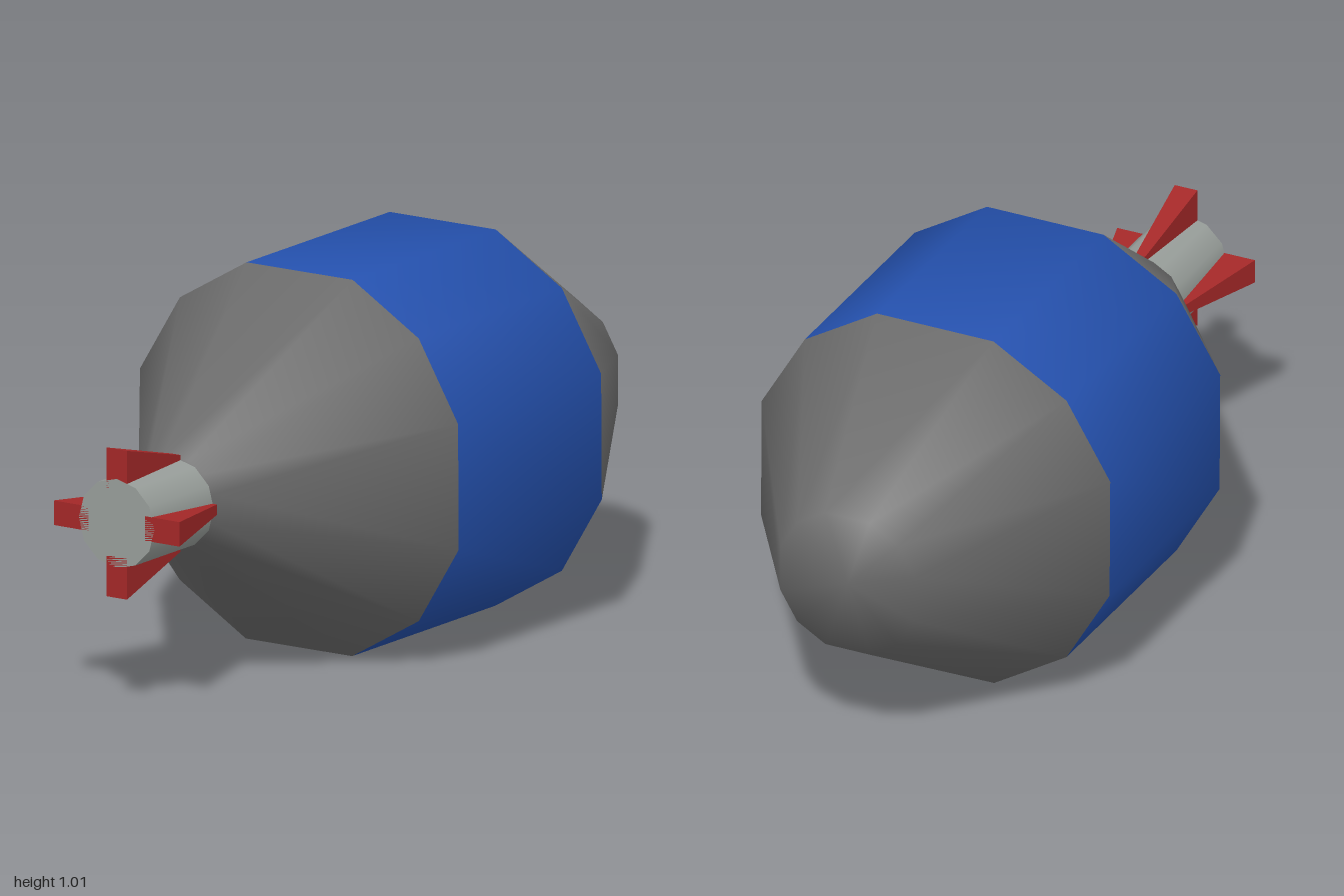
import * as THREE from 'three';

const CY = 0.508; // height of the long axis

// Twelve-sided cross-section (y, z), mirrored from one quadrant
const quadrant = [[0.507, 0.17], [0.38, 0.38], [0.168, 0.505]];
const section = [];
for (let q = 0; q < 4; q++) {
  const c = Math.round(Math.cos(q * Math.PI / 2)), s = Math.round(Math.sin(q * Math.PI / 2));
  for (const [y, z] of quadrant) section.push([y * c - z * s, y * s + z * c]);
}
section.sort((a, b) => Math.atan2(a[1], a[0]) - Math.atan2(b[1], b[0]));

// Lofts scaled sections along x with shared vertices; bands lists the material of each span
function loft(stations, bands) {
  const pos = [], idx = [], n = section.length;
  const geo = new THREE.BufferGeometry();
  for (const [x, k] of stations) for (const [y, z] of section) pos.push(x, y * k, z * k);
  const last = stations.length - 1, base = last * n, tail = pos.length / 3;
  pos.push(stations[0][0], 0, 0, stations[last][0], 0, 0);
  bands.forEach((mat, s) => {
    const start = idx.length;
    for (let i = 0; i < n; i++) {
      const j = (i + 1) % n, a = s * n + i, b = s * n + j;
      idx.push(a, b, b + n, a, b + n, a + n);
      if (s === 0) idx.push(tail, b, a);
      if (s === last - 1) idx.push(tail + 1, base + i, base + j);
    }
    geo.addGroup(start, idx.length - start, mat);
  });
  // Flip the winding when the faces point inward
  const v = (i) => new THREE.Vector3(...pos.slice(i * 3, i * 3 + 3));
  const p = v(idx[0]), nrm = v(idx[1]).sub(p).cross(v(idx[2]).sub(p));
  if (nrm.y * p.y + nrm.z * p.z < 0) {
    for (let i = 0; i < idx.length; i += 3) [idx[i + 1], idx[i + 2]] = [idx[i + 2], idx[i + 1]];
  }
  geo.setAttribute('position', new THREE.Float32BufferAttribute(pos, 3));
  geo.setIndex(idx);
  geo.computeVertexNormals();
  return geo;
}

// Fin block widening toward the rear, pointing along +y
function finGeometry() {
  const geo = new THREE.BoxGeometry(0.27, 1, 1);
  const p = geo.attributes.position;
  for (let i = 0; i < p.count; i++) {
    const rear = p.getX(i) < 0;
    const y = p.getY(i) > 0 ? (rear ? 0.2 : 0.13) : 0.09;
    p.setXYZ(i, rear ? -1 : -0.73, y, Math.sign(p.getZ(i)) * (rear ? 0.033 : 0.014));
  }
  geo.computeVertexNormals();
  return geo;
}

export function createModel() {
  const paint = (name, color) => {
    const m = new THREE.MeshStandardMaterial({ color });
    m.name = name;
    return m;
  };
  const grey = paint('dark grey shell', 0x6b6b6b);
  const blue = paint('blue band', 0x2450ac);
  const steel = paint('light grey metal', 0x989e9a);
  const red = paint('red fins', 0xa42828);

  const group = new THREE.Group();
  group.name = 'finnedCanister';
  const add = (name, geo, mat) => {
    const mesh = new THREE.Mesh(geo, mat);
    mesh.name = name;
    mesh.position.y = CY;
    group.add(mesh);
    return mesh;
  };

  // Shell: tail cone, band, nose cone
  add('shell', loft([[-0.73, 0.235], [-0.17, 1], [0.48, 1], [1, 0.385]], [0, 1, 0]), [grey, blue]);

  // Tail tube
  add('tailTube', new THREE.CylinderGeometry(0.12, 0.12, 0.28, 12).rotateZ(Math.PI / 2).translate(-0.86, 0, 0), steel);

  // Four fins around the tube
  const fin = finGeometry();
  for (let i = 0; i < 4; i++) add('fin' + (i + 1), fin, red).rotation.x = i * Math.PI / 2;
  return group;
}
